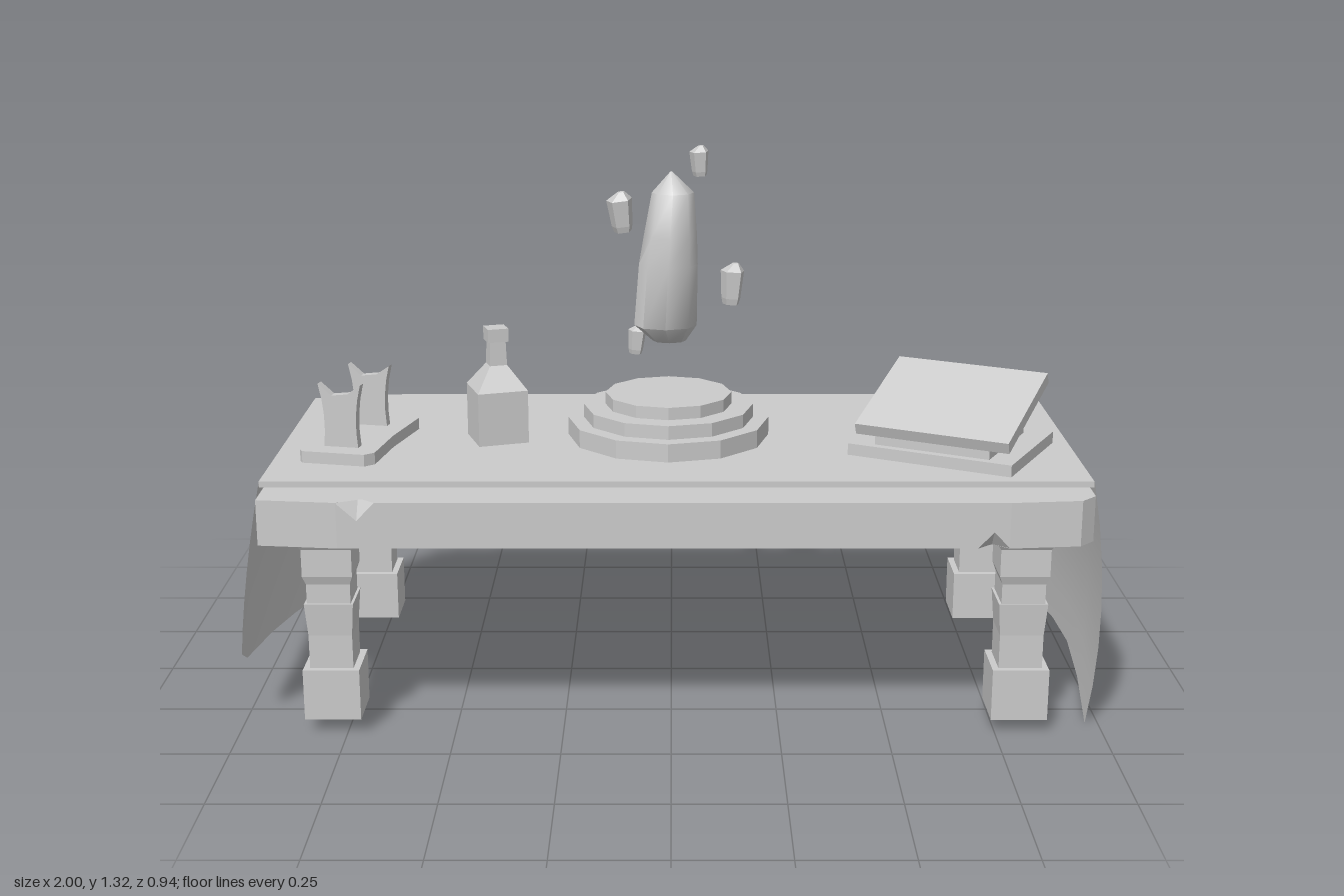
import * as THREE from 'three';
import { toCreasedNormals } from 'three/addons/utils/BufferGeometryUtils.js';

const V = (x, y, z) => new THREE.Vector3(x, y, z);
const mat = new THREE.MeshStandardMaterial({ color: 0xcccccc, flatShading: true });
const openMat = new THREE.MeshStandardMaterial({ color: 0xcccccc, flatShading: true, side: THREE.DoubleSide });
const smoothMat = new THREE.MeshStandardMaterial({ color: 0xcccccc });
const clothMat = new THREE.MeshStandardMaterial({ color: 0xcccccc, side: THREE.DoubleSide });

function add(parent, name, geo, x = 0, y = 0, z = 0, ry = 0, material = mat) {
  const m = new THREE.Mesh(geo, material);
  m.name = name;
  m.position.set(x, y, z);
  m.rotation.y = ry;
  parent.add(m);
  return m;
}

// Skin a stack of rings (bottom to top, counterclockwise from above), capped above and optionally below
function loft(rings, closedBelow = true) {
  const pos = [];
  const tri = (...p) => p.forEach(v => pos.push(v.x, v.y, v.z));
  const n = rings[0].length;
  const mid = r => r.reduce((s, p) => s.add(p), V(0, 0, 0)).divideScalar(n);
  const first = rings[0], last = rings[rings.length - 1];
  const c0 = mid(first), c1 = mid(last);
  for (let i = 0; i < n; i++) {
    const j = (i + 1) % n;
    for (let k = 0; k + 1 < rings.length; k++) {
      const a = rings[k], b = rings[k + 1];
      tri(a[i], a[j], b[j]);
      tri(a[i], b[j], b[i]);
    }
    if (closedBelow) tri(c0, first[j], first[i]);
    tri(c1, last[i], last[j]);
  }
  const g = new THREE.BufferGeometry();
  g.setAttribute('position', new THREE.Float32BufferAttribute(pos, 3));
  g.computeVertexNormals();
  return g;
}

// Regular ring with its own centre and radii
const ring = (n, y, rx, rz = rx, cx = 0, cz = 0, turn = 0) =>
  Array.from({ length: n }, (_, i) => {
    const a = turn + i / n * Math.PI * 2;
    return V(cx + rx * Math.cos(a), y, cz - rz * Math.sin(a));
  });

// Square-section post from [y, halfWidth] pairs
const squarePost = profile =>
  loft(profile.map(([y, h]) => ring(4, y, h * Math.SQRT2, h * Math.SQRT2, 0, 0, Math.PI / 4)));

// Worn top with an apron, open below; V-shaped chips in the top or bottom edge
function tabletop() {
  const outline = [
    [-0.92, 0.45], [-0.74, 0.47], [-0.695, 0.47, 'top'], [-0.655, 0.47],
    [0.68, 0.47], [0.715, 0.47, 'bottom'], [0.75, 0.47], [0.91, 0.455], [0.945, 0.42],
    [0.945, -0.43], [0.935, -0.455], [0.76, -0.473], [0.715, -0.475, 'top'], [0.67, -0.475],
    [-0.7, -0.475], [-0.88, -0.45], [-0.92, -0.38],
  ];
  const level = (edge, edgeY, chipY, cut) => outline.map(([x, z, chip]) => chip === edge
    ? V(x, chipY, z - Math.sign(z) * cut) : V(x, edgeY, z));
  return loft([
    level('bottom', 0.484, 0.484, 0.03), level('bottom', 0.485, 0.522, 0),
    level('top', 0.589, 0.548, 0), level('top', 0.59, 0.59, 0.035),
  ], false);
}

// Hanging cloth end: columns of [z, bottomY, midX, bottomX]
function hanging(topX, cols) {
  const pos = [], index = [], rows = 6;
  cols.forEach(([z, y, mx, bx], c) => {
    for (let r = 0; r <= rows; r++) {
      const t = r / rows;
      const x = (1 - t) * (1 - 2 * t) * topX + 4 * t * (1 - t) * mx + t * (2 * t - 1) * bx;
      pos.push(x, 0.603 + (y - 0.603) * t, z * (1 + 0.128 * t - 0.208 * t * t));
      if (c && r) {
        const a = c * (rows + 1) + r, b = a - rows - 1;
        index.push(a, b, a - 1, b, b - 1, a - 1);
      }
    }
  });
  const g = new THREE.BufferGeometry();
  g.setAttribute('position', new THREE.Float32BufferAttribute(pos, 3));
  g.setIndex(index);
  g.computeVertexNormals();
  return g;
}

// Small chunky shard of width w and height h with an off-centre peak
const shard = (w, h) => loft([
  ring(5, -h * 0.5, w * 0.36),
  ring(5, -h * 0.35, w * 0.43),
  ring(5, h * 0.3, w * 0.53),
  ring(5, h * 0.5, w * 0.14, w * 0.14, w * 0.08, w * 0.08),
]);

export function createModel() {
  const model = new THREE.Group();
  model.name = 'altarTable';

  // Table
  add(model, 'tabletop', tabletop(), 0, 0, 0, 0, openMat);
  const leg = squarePost([
    [0.038, 0.065], [0.16, 0.065], [0.16, 0.05], [0.24, 0.05], [0.318, 0.056],
    [0.318, 0.05], [0.365, 0.05], [0.385, 0.057], [0.45, 0.057], [0.465, 0.066], [0.589, 0.066],
  ]);
  for (const x of [-0.782, 0.804])
    for (const z of [-0.325, 0.325]) add(model, 'leg', leg, x, 0, z);

  // Cloth runner with two hanging ends
  add(model, 'runner', new THREE.BoxGeometry(1.885, 0.014, 0.738), 0.012, 0.597, -0.013);
  add(model, 'rightHangingCloth', hanging(0.955, [
    [0.358, 0.003, 0.986, 0.97], [0.18, 0.053, 0.99, 0.982], [0, 0.078, 0.992, 0.988],
    [-0.23, 0.058, 0.996, 0.993], [-0.382, 0.033, 0.998, 0.996],
  ]), 0, 0, 0, 0, clothMat);
  add(model, 'leftHangingCloth', hanging(-0.93, [
    [0.358, 0.175, -0.968, -0.998], [0.3, 0.145, -0.97, -0.998], [0.05, 0.12, -0.968, -0.985],
    [-0.2, 0.08, -0.965, -0.975], [-0.38, 0.045, -0.962, -0.97],
  ]), 0, 0, 0, 0, clothMat);

  // Stepped round pedestal
  for (const [r, y0, y1] of [[0.244, 0.586, 0.648], [0.206, 0.64, 0.681], [0.153, 0.675, 0.711]])
    add(model, 'pedestalStep', new THREE.CylinderGeometry(r, r, y1 - y0, 12), -0.007, (y0 + y1) / 2, -0.037);

  // Floating crystal and its shards
  add(model, 'largeCrystal', toCreasedNormals(loft([
    ring(8, 0.838, 0.04, 0.03, -0.005, -0.04),
    ring(8, 0.88, 0.075, 0.06, -0.014, -0.025),
    ring(8, 1.03, 0.07, 0.062, -0.007, -0.02),
    ring(8, 1.1, 0.063, 0.06, -0.002, -0.02),
    ring(8, 1.2, 0.05, 0.048, 0.004, -0.027),
    ring(8, 1.25, 0.002, 0.002, 0, -0.025),
  ]), 0.85), 0, 0, 0, 0, smoothMat);
  for (const [x, y, z, w, h, lean] of [
    [0.065, 1.29, 0.08, 0.044, 0.07, 0.05], [-0.122, 1.14, -0.11, 0.062, 0.098, 0.12],
    [0.145, 0.983, -0.017, 0.056, 0.1, -0.06], [-0.085, 0.823, -0.12, 0.044, 0.072, -0.1],
  ]) add(model, 'shard', shard(w, h), x, y, z, 0.4).rotation.z = lean;

  // Square bottle with stopper
  add(model, 'bottle', squarePost([
    [0.6, 0.061], [0.733, 0.061], [0.79, 0.021], [0.848, 0.019],
    [0.848, 0.025], [0.88, 0.025],
  ]), -0.42, 0, 0, 0.32);

  // Tray carrying two forked holders
  const tray = new THREE.Group();
  tray.name = 'tray';
  tray.position.set(-0.745, 0.602, 0.06);
  tray.rotation.y = -0.21;
  model.add(tray);
  const plate = new THREE.Shape([[-0.09, 0.155], [-0.083, 0], [-0.09, -0.166], [0.09, -0.166],
    [0.083, 0], [0.09, 0.145], [0.072, 0.168], [-0.08, 0.168]].map(p => new THREE.Vector2(...p)));
  add(tray, 'trayPlate', new THREE.ExtrudeGeometry(plate, { depth: 0.03, bevelEnabled: false }), 0, 0.03, 0)
    .rotation.x = Math.PI / 2;
  const fork = new THREE.Shape();
  fork.moveTo(-0.042, 0);
  fork.lineTo(0.042, 0);
  fork.quadraticCurveTo(0.032, 0.08, 0.052, 0.152);
  fork.lineTo(0.02, 0.13);
  fork.lineTo(-0.02, 0.125);
  fork.lineTo(-0.052, 0.152);
  fork.quadraticCurveTo(-0.032, 0.08, -0.042, 0);
  const forkGeo = new THREE.ExtrudeGeometry(fork, { depth: 0.022, bevelEnabled: false, curveSegments: 4 });
  for (const z of [-0.09, 0.105]) add(tray, 'forkedHolder', forkGeo, -0.003, 0.028, z - 0.011);

  // Sloped reading stand
  const stand = new THREE.Group();
  stand.name = 'readingStand';
  stand.position.set(0.667, 0.602, 0.091);
  stand.rotation.y = -0.475;
  model.add(stand);
  add(stand, 'standBase', new THREE.BoxGeometry(0.4, 0.03, 0.32), 0, 0.015, 0);
  const side = new THREE.Shape([[-0.14, 0.03], [0.116, 0.03], [0.116, 0.147], [-0.14, 0.055]]
    .map(p => new THREE.Vector2(...p)));
  add(stand, 'wedge', new THREE.ExtrudeGeometry(side, { depth: 0.28, bevelEnabled: false }), -0.14, 0, 0, Math.PI / 2);
  add(stand, 'slopedBoard', new THREE.BoxGeometry(0.375, 0.028, 0.302), 0, 0.115, 0.004).rotation.x = 0.345;

  return model;
}
